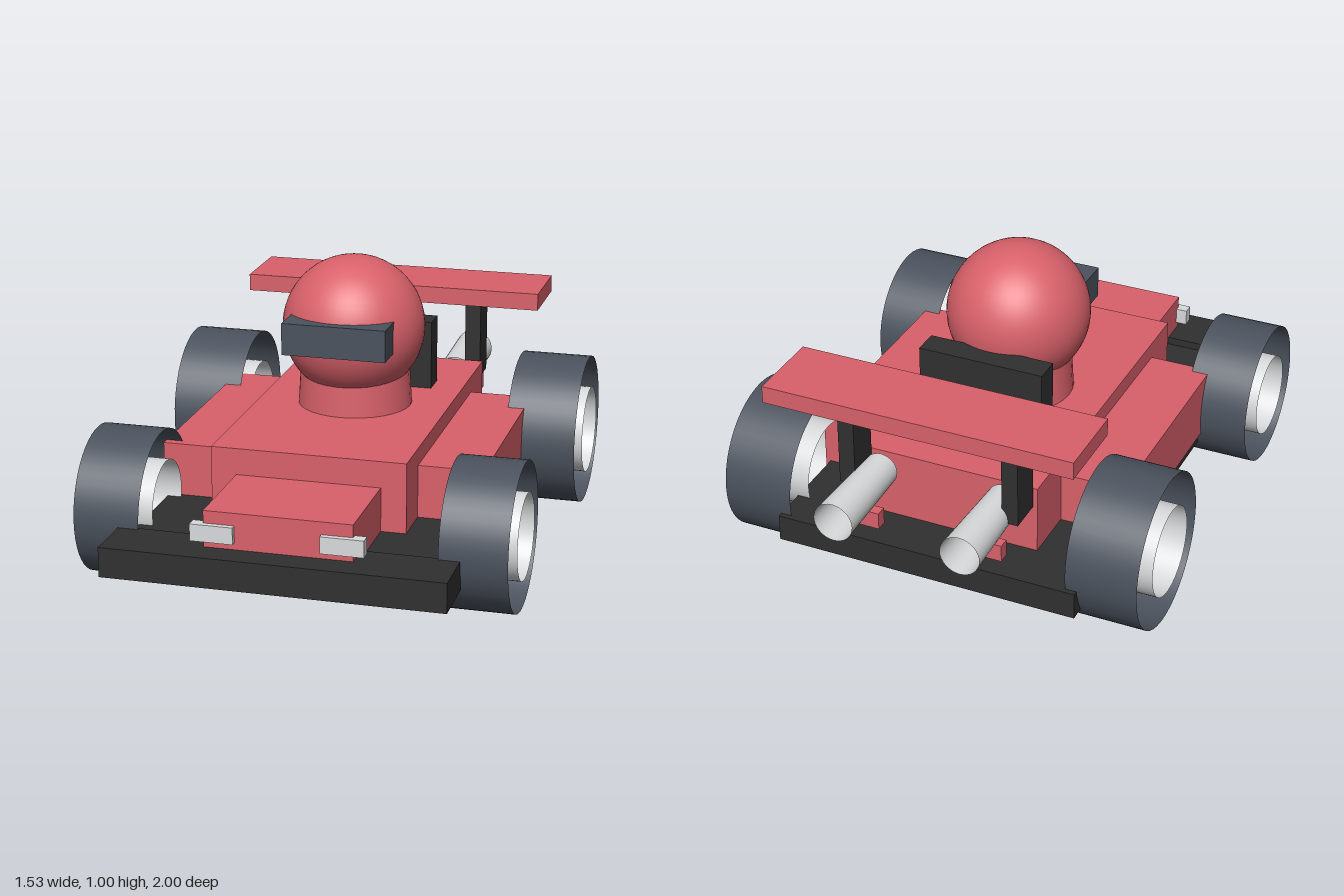
import * as THREE from 'three';

export function createModel() {
  const kart = new THREE.Group();
  kart.name = 'raceKart';

  const mat = (name, color, extra = {}) => {
    const m = new THREE.MeshStandardMaterial({ color, ...extra });
    m.name = name;
    return m;
  };
  const red = mat('bodyRed', 0xd9616a);
  const black = mat('trimBlack', 0x303030);
  const slate = mat('tireSlate', 0x4b525d, { side: THREE.DoubleSide });
  const silver = mat('metalSilver', 0xd9dadb, { side: THREE.DoubleSide });

  const add = (name, geometry, material) => {
    const mesh = new THREE.Mesh(geometry, material);
    mesh.name = name;
    kart.add(mesh);
    return mesh;
  };

  // Box given by its limits on each axis
  const box = (name, material, [x0, x1], [y0, y1], [z0, z1]) => {
    const g = new THREE.BoxGeometry(x1 - x0, y1 - y0, z1 - z0);
    g.translate((x0 + x1) / 2, (y0 + y1) / 2, (z0 + z1) / 2);
    return add(name, g, material);
  };

  // Open tube lying along x
  const ring = (name, material, radius, x0, x1, y, z) => {
    const g = new THREE.CylinderGeometry(radius, radius, x1 - x0, 48, 1, true);
    g.rotateZ(Math.PI / 2);
    g.translate((x0 + x1) / 2, y, z);
    return add(name, g, material);
  };

  // Floor and bumper
  box('floorPan', black, [-0.545, 0.545], [0.125, 0.22], [-0.81, 0.86]);
  box('frontBumper', black, [-0.577, 0.577], [0.145, 0.248], [0.805, 1]);

  // Bodywork
  box('hull', red, [-0.337, 0.337], [0.2, 0.465], [-0.635, 0.555]);
  box('nose', red, [-0.25, 0.25], [0.2, 0.373], [0.5, 0.905]);
  box('sidePods', red, [-0.563, 0.563], [0.18, 0.405], [-0.437, 0.395]);
  box('rearWing', red, [-0.553, 0.553], [0.695, 0.757], [-0.85, -0.57]);
  box('seatBack', black, [-0.227, 0.227], [0.45, 0.712], [-0.352, -0.258]);

  // Driver
  add('torso', new THREE.CylinderGeometry(0.19, 0.202, 0.2, 32), red).position.set(0, 0.55, -0.052);
  add('helmet', new THREE.SphereGeometry(0.25, 48, 32), red).position.set(0, 0.75, -0.033);
  box('visor', slate, [-0.183, 0.183], [0.705, 0.817], [0.03, 0.243]);

  // Paired parts on both sides
  for (const [side, s] of [['left', 1], ['right', -1]]) {
    const span = (a, b) => (s > 0 ? [a, b] : [-b, -a]);
    box(side + 'Headlight', silver, span(0.145, 0.29), [0.272, 0.33], [0.885, 0.925]);
    box(side + 'TailLight', red, span(0.145, 0.3), [0.3, 0.36], [-0.84, -0.8]);
    box(side + 'WingStrut', black, span(0.267, 0.325), [0.398, 0.697], [-0.765, -0.645]);

    // Tires and rims
    ring(side + 'FrontTire', slate, 0.253, ...span(0.505, 0.732), 0.253, 0.565);
    ring(side + 'FrontRim', silver, 0.147, ...span(0.495, 0.74), 0.253, 0.56);
    ring(side + 'RearTire', slate, 0.27, ...span(0.505, 0.755), 0.27, -0.527);
    ring(side + 'RearRim', silver, 0.157, ...span(0.497, 0.765), 0.27, -0.525);

    // Exhaust, widening to the rear
    const pipe = new THREE.CylinderGeometry(0.06, 0.07, 0.345, 32, 1, true);
    pipe.rotateX(Math.PI / 2);
    add(side + 'Exhaust', pipe, silver).position.set(s * 0.227, 0.405, -0.8275);
  }
  return kart;
}
